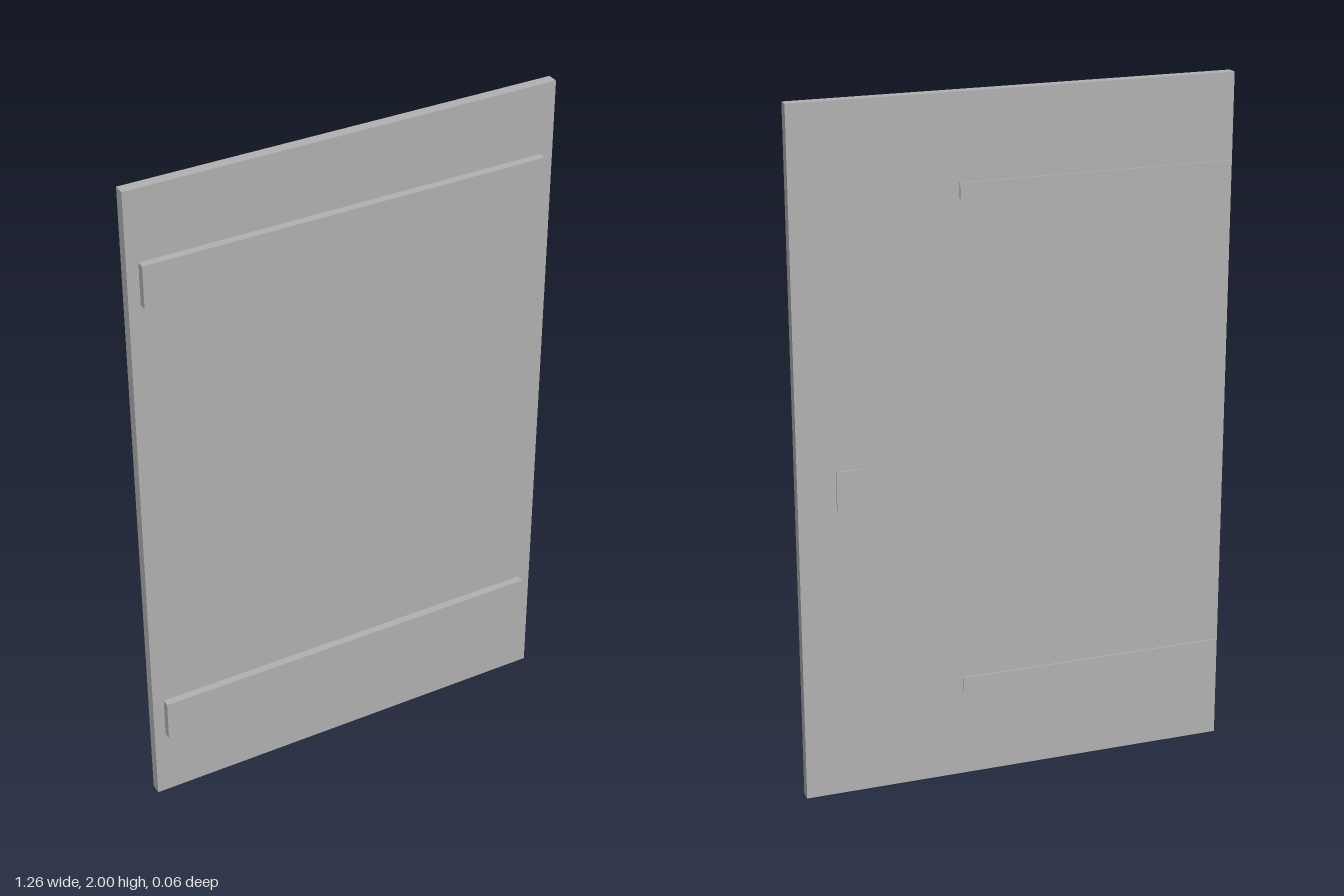
import * as THREE from 'three';

export function createModel() {
  const group = new THREE.Group();
  const grey = new THREE.MeshStandardMaterial({ color: 0xb2b2b2 });
  grey.name = 'plain grey';

  // Box given by its lower and upper limits on each axis
  function slab(name, [x0, x1], [y0, y1], [z0, z1]) {
    const mesh = new THREE.Mesh(new THREE.BoxGeometry(x1 - x0, y1 - y0, z1 - z0), grey);
    mesh.position.set((x0 + x1) / 2, (y0 + y1) / 2, (z0 + z1) / 2);
    mesh.name = name;
    group.add(mesh);
  }

  const back = -0.025, front = 0.007;
  slab('doorPanel', [-0.632, 0.632], [0, 2], [back, front]);

  // Cross battens on the front, hinge straps on the back
  for (const [label, y] of [['lower', 0.278], ['upper', 1.728]]) {
    slab(label + 'Batten', [-0.598, 0.594], [y - 0.0625, y + 0.0625], [front, 0.03]);
    slab(label + 'HingeStrap', [-0.624, 0.161], [y + 0.005 - 0.022, y + 0.005 + 0.022], [-0.03, back]);
  }

  // Lock plate on the back
  slab('lockPlate', [0.45, 0.522], [0.868, 0.979], [-0.03, back]);

  return group;
}
